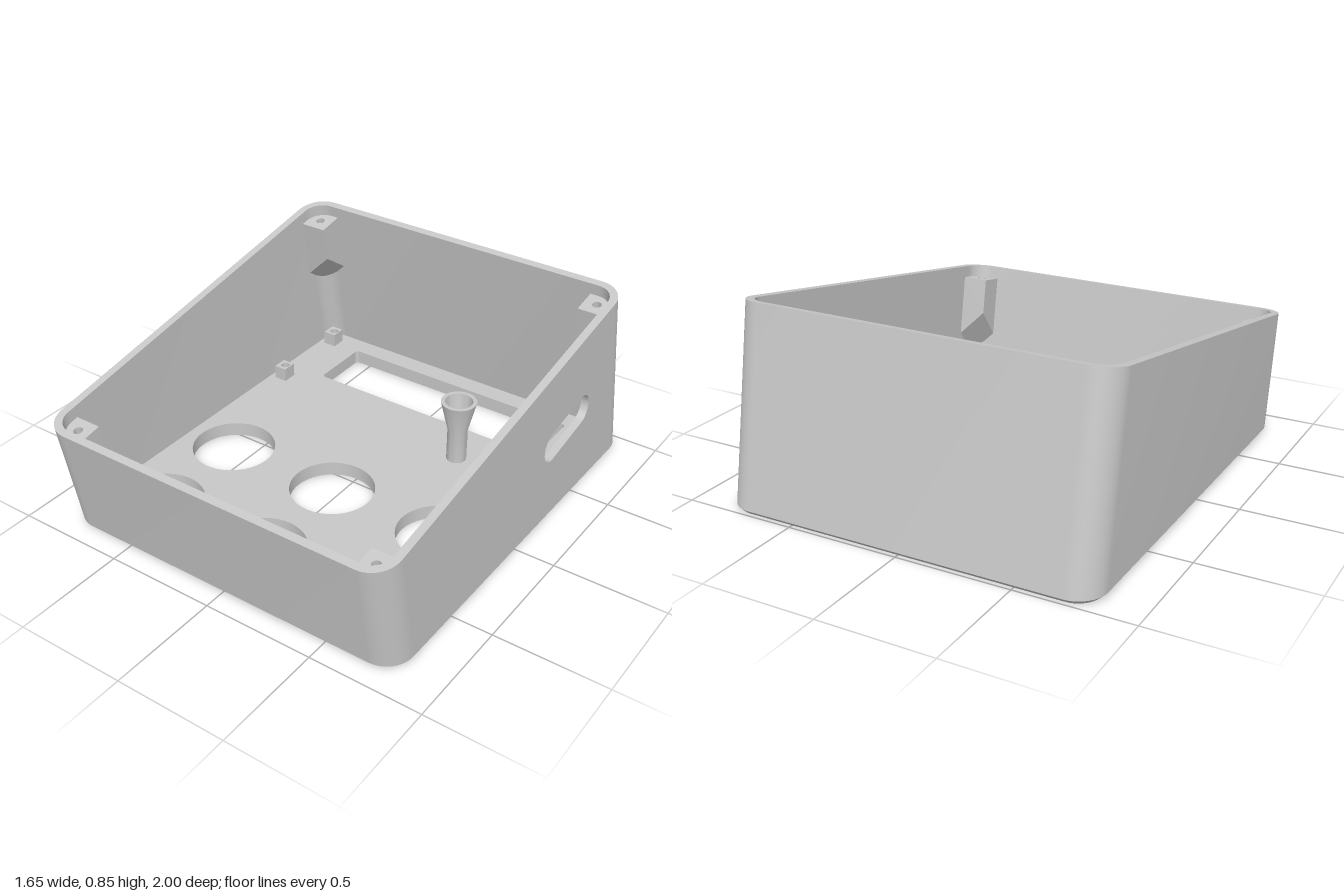
import * as THREE from 'three';
import { toCreasedNormals } from 'three/addons/utils/BufferGeometryUtils.js';
import { ConvexGeometry } from 'three/addons/geometries/ConvexGeometry.js';

const TILT = THREE.MathUtils.degToRad(10), T = Math.tan(TILT), C = Math.cos(TILT);
const HALF_X = 0.827, HALF_U = 0.939, RADIUS = 0.12, WALL = 0.035, FLOOR = 0.065, BEVEL = 0.018;
const MID_Z = -0.0465, RIM_Y = 0.703;

// height of the sloping rim above a point of the base outline
const rimHeight = (z0) => (RIM_Y - T * z0) / (1 + T * T);

// base outline: four rounded corners, open along the +x side
function outline(inset) {
  const pts = [], r = RADIUS - inset, n = 12;
  for (let q = 0; q < 4; q++) {
    const sx = q === 0 || q === 3 ? 1 : -1, su = q < 2 ? 1 : -1;
    for (let i = 0; i <= n; i++) {
      const a = (q + i / n) * Math.PI / 2;
      const u = su * (HALF_U - RADIUS) + r * Math.sin(a);
      pts.push([sx * (HALF_X - RADIUS) + r * Math.cos(a), MID_Z + u / C]);
    }
  }
  return pts;
}

// sweep a profile of [inset, height] around an outline; null height means the rim
function sweep(profile, pick) {
  const cols = profile.map(([inset, h]) => pick(outline(inset)).map(([x, z0]) => {
    const y = h === null ? rimHeight(z0) : h;
    return [x, y, z0 + y * T];
  }));
  const pos = [];
  for (let j = 0; j < cols.length - 1; j++) {
    for (let i = 0; i < cols[0].length - 1; i++) {
      const a = cols[j][i], b = cols[j + 1][i], c = cols[j][i + 1], d = cols[j + 1][i + 1];
      pos.push(...a, ...b, ...c, ...b, ...d, ...c);
    }
  }
  const g = new THREE.BufferGeometry();
  g.setAttribute('position', new THREE.Float32BufferAttribute(pos, 3));
  return toCreasedNormals(g, 0.5);
}

// counter-clockwise shape, so that its holes face inwards
function polygon(pts) {
  const v = pts.map(([x, y]) => new THREE.Vector2(x, y));
  return new THREE.Shape(THREE.ShapeUtils.isClockWise(v) ? v.reverse() : v);
}
const circle = (x, y, r) => new THREE.Path().absarc(x, y, r, 0, Math.PI * 2, true);
const rect = (x0, x1, y0, y1) => [[x0, y0], [x1, y0], [x1, y1], [x0, y1]];

// plan shape (x, -z) raised from y0 to y1
function raise(shape, y0, y1) {
  const g = new THREE.ExtrudeGeometry(shape, { depth: y1 - y0, bevelEnabled: false, curveSegments: 32 });
  return toCreasedNormals(g.rotateX(-Math.PI / 2).translate(0, y0, 0), 0.5);
}

export function createModel() {
  const model = new THREE.Group();
  const grey = new THREE.MeshStandardMaterial({ color: 0xc8c8c8 });
  grey.name = 'matte grey';
  const add = (name, geometry, parent = model) => {
    const m = new THREE.Mesh(geometry, grey);
    m.name = name;
    parent.add(m);
    return m;
  };

  // front, back and right-hand walls with rounded corners
  add('walls', sweep([[0.02, 0], [0, BEVEL], [0, null], [WALL, null], [WALL, 0.02]], (p) => p));

  // remaining side wall, pierced by a slanted slot
  add('slotWallBevel', sweep([[0.02, 0], [0, BEVEL]], (p) => [p[p.length - 1], p[0]]));
  const ends = outline(0), zFront = ends[0][1], zBack = ends[ends.length - 1][1];
  const corner = (z0, y) => [-(z0 + y * T), y];
  const side = polygon([corner(zFront, BEVEL), corner(zBack, BEVEL),
    corner(zBack, rimHeight(zBack)), corner(zFront, rimHeight(zFront))]);
  const slot = new THREE.Path(), sr = 0.07, sl = 0.125;
  const sx = 0.378, sy = 0.4, dx = sl * C, dy = sl * Math.sin(TILT);
  slot.absarc(sx + dx, sy + dy, sr, TILT - Math.PI / 2, TILT + Math.PI / 2, false);
  slot.absarc(sx - dx, sy - dy, sr, TILT + Math.PI / 2, TILT + Math.PI * 1.5, false);
  side.holes.push(slot);
  const sideGeo = new THREE.ExtrudeGeometry(side, { depth: WALL, bevelEnabled: false, curveSegments: 16 });
  sideGeo.rotateY(Math.PI / 2).translate(HALF_X - WALL, 0, 0);
  add('slotWall', toCreasedNormals(sideGeo, 0.5));

  // floor with six button holes, a display window and a small socket hole
  const floor = polygon(outline(0.02).map(([x, z]) => [x, -z]));
  for (const x of [-0.55, 0, 0.55]) {
    for (const z of [0.159, 0.647]) floor.holes.push(circle(x, -z, 0.187));
  }
  const [x0, x1, y0, y1, k] = [-0.58, 0.602, 0.562, 0.86, 0.012];
  floor.holes.push(polygon([[x0 + k, y0], [x1 - k, y0], [x1, y0 + k], [x1, y1 - k],
    [x1 - k, y1], [x0 + k, y1], [x0, y1 - k], [x0, y0 + k]]));
  floor.holes.push(circle(0.322, 0.345, 0.03));
  add('floor', raise(floor, 0, FLOOR));

  // flared hollow socket standing on the floor
  const socket = [[0.03, FLOOR - 0.02], [0.045, FLOOR - 0.02], [0.045, 0.22], [0.08, 0.365],
    [0.062, 0.365], [0.055, 0.31], [0.033, 0.2], [0.03, FLOOR - 0.02]];
  const socketGeo = new THREE.LatheGeometry(socket.map(([r, y]) => new THREE.Vector2(r, y)), 40);
  add('socket', toCreasedNormals(socketGeo, 0.5)).position.set(0.322, 0, -0.345);

  // circuit board supports: two blocks on one side, a long rail on the other
  const support = (name, xa, xb, za, zb, holes) => {
    const pad = polygon(rect(xa, xb, -zb, -za));
    for (const [x, z] of holes) pad.holes.push(circle(x, -z, 0.02));
    add(name, raise(pad, FLOOR - 0.01, 0.13));
  };
  support('standoff', -0.762, -0.7, -0.49, -0.42, [[-0.725, -0.455]]);
  support('standoff', -0.762, -0.7, -0.9, -0.83, [[-0.725, -0.865]]);
  support('standoffRail', 0.7, 0.76, -0.9, -0.42, [[0.724, -0.455], [0.724, -0.865]]);

  // screw posts in the corners, square to the sloping rim
  const posts = new THREE.Group();
  posts.name = 'screwPosts';
  posts.position.set(0, 0.69, 0.075);
  posts.rotation.x = TILT;
  model.add(posts);
  const px = 0.67, pu = 0.785, top = -0.055, base = -0.22;
  const plan = [[px, pu], [0.798, pu]];
  for (let i = 0; i <= 6; i++) {
    const a = i / 6 * Math.PI / 2;
    plan.push([0.716 + 0.082 * Math.cos(a), 0.826 + 0.082 * Math.sin(a)]);
  }
  plan.push([px, 0.908]);
  for (const mx of [-1, 1]) {
    for (const mu of [-1, 1]) {
      const post = polygon(plan.map(([x, u]) => [mx * x, -mu * u]));
      post.holes.push(circle(mx * 0.73, -mu * 0.845, 0.02));
      add('screwPost', raise(post, base, top), posts);
      // underside slopes down into the corner
      const wedge = plan.flatMap(([x, u]) => [base, base - (x - px) - (u - pu)]
        .map((y) => new THREE.Vector3(mx * x, y, mu * u)));
      add('screwPostTaper', new ConvexGeometry(wedge), posts);
    }
  }
  return model;
}
